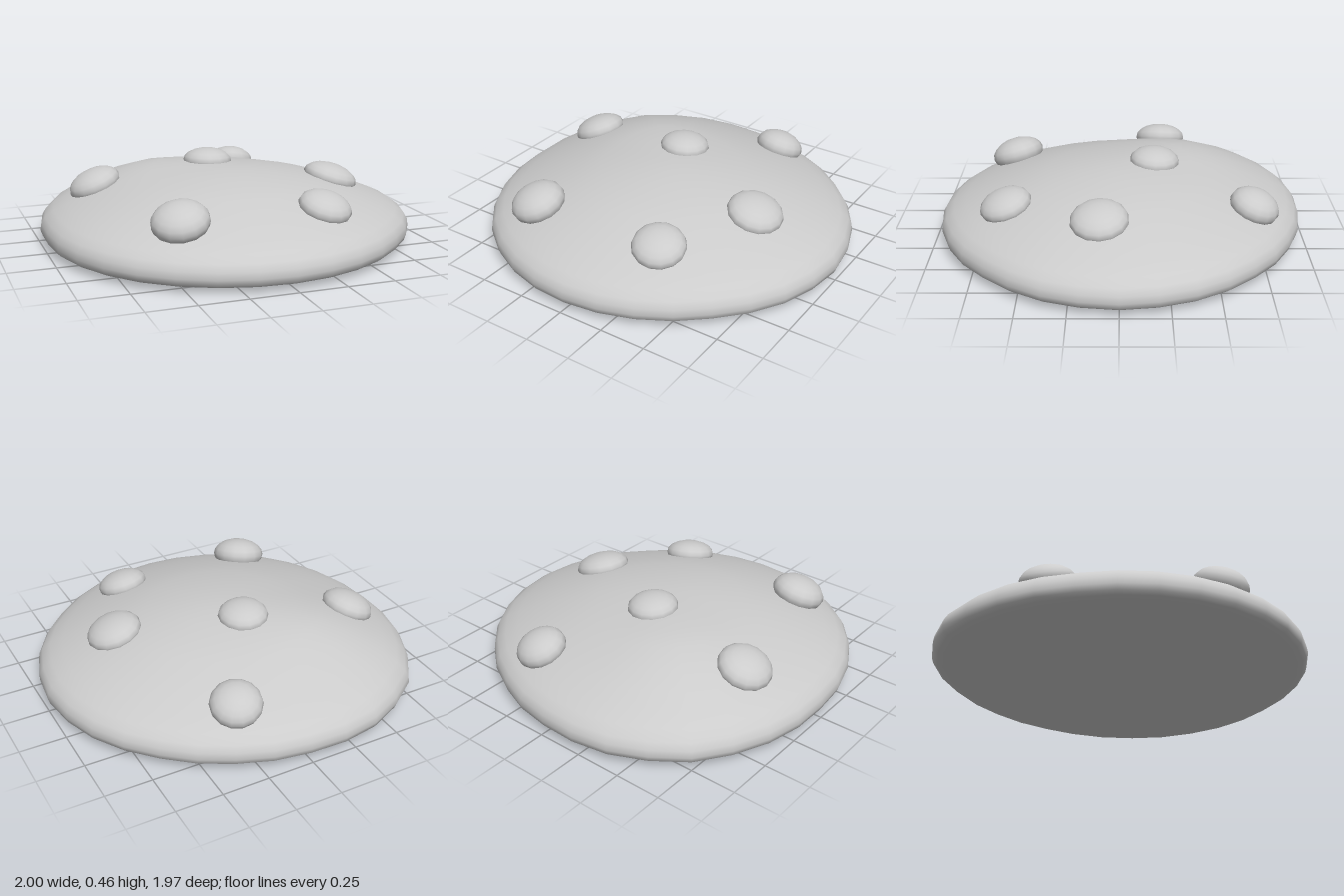
import * as THREE from 'three';
import { mergeVertices } from 'three/addons/utils/BufferGeometryUtils.js';

const material = new THREE.MeshStandardMaterial({ color: 0xcccccc });

// Cap cross-section as [radius, height], from the underside centre over the rim to the crown
const profile = [
  [0, 0.025], [0.25, 0.024], [0.5, 0.024], [0.75, 0.024], [0.93, 0.024], [0.97, 0.03],
  [0.99, 0.045], [1, 0.075], [0.995, 0.11], [0.975, 0.145], [0.93, 0.178], [0.86, 0.21],
  [0.76, 0.25], [0.65, 0.287], [0.52, 0.327], [0.4, 0.355], [0.25, 0.379], [0.12, 0.391], [0, 0.395],
];
const domeTop = profile.slice(8);

// Outline radius every 22.5 degrees, from +x towards +z: the rim is fuller at one back corner
const outline = [
  1, 0.99, 0.965, 0.97, 0.98, 0.99, 1, 1,
  1, 1.035, 1.065, 1.04, 0.988, 0.962, 0.96, 0.985,
];

function reach(x, z) {
  const t = ((Math.atan2(z, x) / (2 * Math.PI) + 1) % 1) * outline.length;
  const i = Math.floor(t) % outline.length;
  return THREE.MathUtils.lerp(outline[i], outline[(i + 1) % outline.length], t - Math.floor(t));
}

// Raised shoulder of the dome towards the fuller corner
const shoulder = (x, z) => 0.045 * Math.exp(-((x + 0.42) ** 2 + (z + 0.42) ** 2) / 0.12);

// Height of the dome at any point
function domeAt(x, z) {
  const r = Math.hypot(x, z) / reach(x, z);
  const i = domeTop.findIndex(([radius]) => radius <= r);
  const [r0, y0] = domeTop[i - 1], [r1, y1] = domeTop[i];
  return THREE.MathUtils.mapLinear(r, r0, r1, y0, y1) + shoulder(x, z);
}

function makeCap() {
  const lathe = new THREE.LatheGeometry(profile.map(([r, y]) => new THREE.Vector2(r, y)), 32);
  const p = lathe.attributes.position;
  for (let i = 0; i < p.count; i++) {
    const k = reach(p.getX(i), p.getZ(i));
    const x = p.getX(i) * k, z = p.getZ(i) * k, y = p.getY(i);
    let offset = 0;
    if (y > 0.15) offset = shoulder(x, z);
    // Shallow sag in the underside, towards the back
    else if (y < 0.027) offset = -0.024 * Math.exp(-((x - 0.13) ** 2 + (z + 0.45) ** 2) / 0.08);
    p.setXYZ(i, x, y + offset, z);
  }
  // Weld the seam so the shading stays smooth all round
  lathe.deleteAttribute('normal');
  lathe.deleteAttribute('uv');
  const geometry = mergeVertices(lathe);
  geometry.computeVertexNormals();
  const cap = new THREE.Mesh(geometry, material);
  cap.name = 'cap';
  return cap;
}

// Flattened round knob, tilted to sit square on the dome
function makeKnob({ x, z, radius, height, lift }) {
  const e = 0.08;
  const normal = new THREE.Vector3(
    domeAt(x - e, z) - domeAt(x + e, z),
    2 * e,
    domeAt(x, z - e) - domeAt(x, z + e),
  ).normalize();
  const knob = new THREE.Mesh(new THREE.SphereGeometry(1, 14, 10), material);
  knob.name = 'knob';
  knob.scale.set(radius, height, radius);
  knob.quaternion.setFromUnitVectors(new THREE.Vector3(0, 1, 0), normal);
  knob.position.set(x, domeAt(x, z), z).addScaledVector(normal, lift);
  return knob;
}

export function createModel() {
  const group = new THREE.Group();
  group.name = 'knobbedCap';
  group.add(makeCap());

  const knobs = [
    { x: -0.05, z: -0.19, radius: 0.135, height: 0.07, lift: 0 },
    { x: -0.68, z: -0.24, radius: 0.145, height: 0.08, lift: 0.01 },
    { x: 0.27, z: -0.7, radius: 0.135, height: 0.085, lift: 0.02 },
    { x: 0.57, z: 0.1, radius: 0.15, height: 0.075, lift: 0.005 },
    { x: -0.45, z: 0.59, radius: 0.148, height: 0.09, lift: 0.03 },
    { x: 0.31, z: 0.59, radius: 0.14, height: 0.075, lift: 0.01 },
  ];
  for (const k of knobs) group.add(makeKnob(k));
  return group;
}
